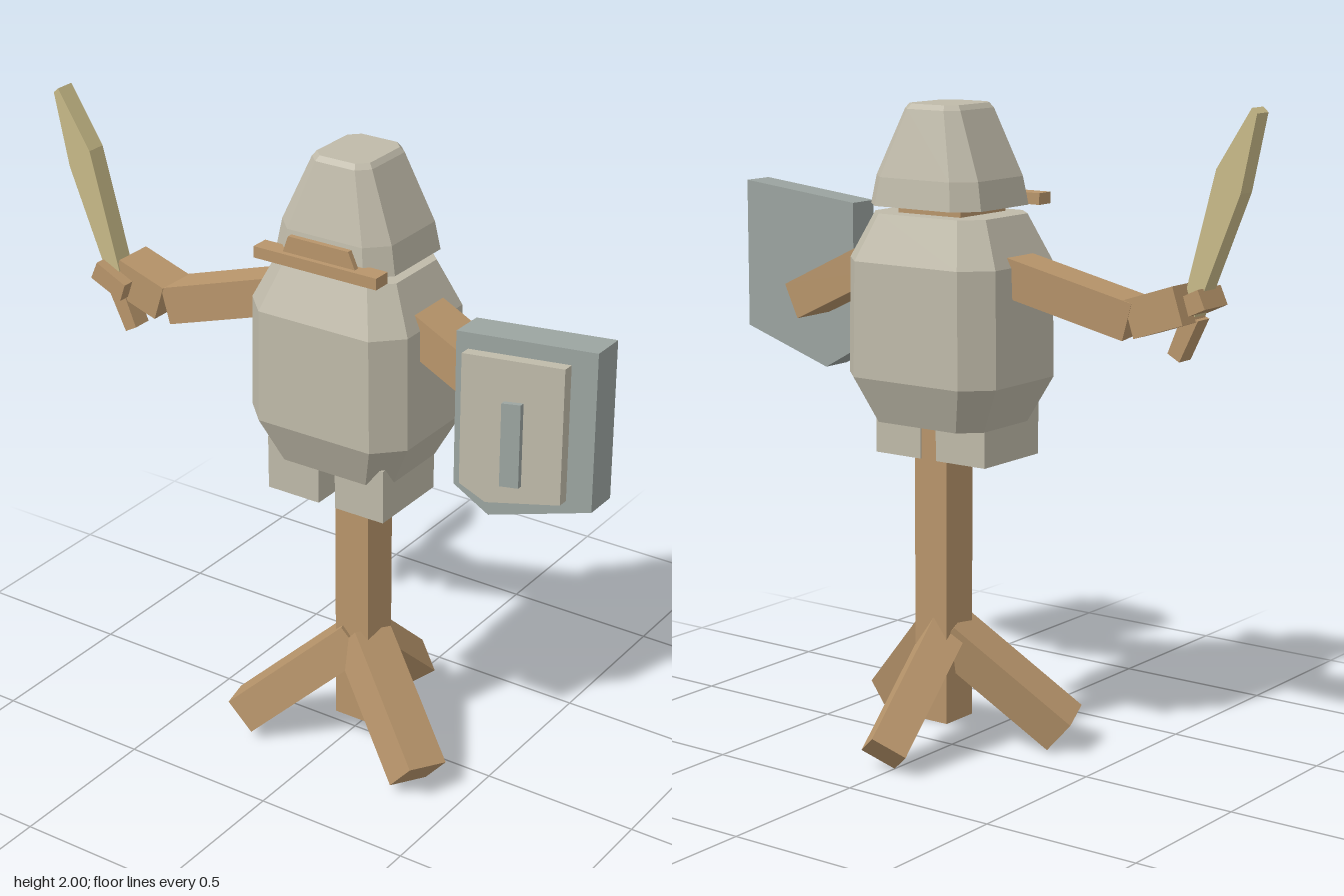
import * as THREE from 'three';

const material = (name, color) => Object.assign(new THREE.MeshStandardMaterial({ color, flatShading: true }), { name });
const wood = material('wood', 0xb8956b);
const stone = material('paleArmour', 0xbfbaa9);
const steel = material('blueGreySteel', 0x9ba4a0);
const bladeTan = material('bladeTan', 0xc8ba88);

export function createModel() {
  const model = new THREE.Group();
  model.name = 'trainingDummy';

  const add = (name, geometry, mat) => {
    const mesh = new THREE.Mesh(geometry, mat);
    mesh.name = name;
    model.add(mesh);
    return mesh;
  };

  // Box given by its lower and upper corners
  const box = (name, mat, [x0, y0, z0], [x1, y1, z1]) =>
    add(name, new THREE.BoxGeometry(x1 - x0, y1 - y0, z1 - z0), mat)
      .position.set((x0 + x1) / 2, (y0 + y1) / 2, (z0 + z1) / 2);

  // Square beam from a to b; w is measured along the side direction, d across it
  const beam = (name, a, b, w, d, side) => {
    const start = new THREE.Vector3(...a), end = new THREE.Vector3(...b);
    const y = end.clone().sub(start), length = y.length();
    y.normalize();
    const x = new THREE.Vector3(...side);
    x.addScaledVector(y, -x.dot(y)).normalize();
    const z = x.clone().cross(y);
    const mesh = add(name, new THREE.BoxGeometry(w, length, d), wood);
    mesh.quaternion.setFromRotationMatrix(new THREE.Matrix4().makeBasis(x, y, z));
    mesh.position.copy(start).add(end).multiplyScalar(0.5);
  };

  // Flat outline in x and y, given depth between z0 and z1
  const plate = (name, mat, points, z0, z1) => {
    const shape = new THREE.Shape(points.map(p => new THREE.Vector2(...p)));
    const geometry = new THREE.ExtrudeGeometry(shape, { depth: z1 - z0, bevelEnabled: false });
    add(name, geometry.translate(0, 0, z0), mat);
  };

  // Stack of chamfered rectangles: [y, half width, half depth, chamfer]
  const loft = (name, mat, cx, cz, levels) => {
    const rings = levels.map(([y, w, d, c]) => [
      [w, d - c], [w - c, d], [c - w, d], [-w, d - c],
      [-w, c - d], [c - w, -d], [w - c, -d], [w, c - d],
    ].map(([x, z]) => [cx + x, y, cz + z]));
    const out = [];
    const tri = (...corners) => corners.forEach(p => out.push(...p));
    for (let i = 0; i + 1 < rings.length; i++) {
      for (let k = 0; k < 8; k++) {
        const n = (k + 1) % 8, lo = rings[i], hi = rings[i + 1];
        tri(lo[k], hi[k], hi[n]);
        tri(lo[k], hi[n], lo[n]);
      }
    }
    const bottom = rings[0], top = rings[rings.length - 1];
    for (let k = 1; k < 7; k++) {
      tri(bottom[0], bottom[k], bottom[k + 1]);
      tri(top[0], top[k + 1], top[k]);
    }
    const geometry = new THREE.BufferGeometry();
    geometry.setAttribute('position', new THREE.Float32BufferAttribute(out, 3));
    geometry.computeVertexNormals();
    add(name, geometry, mat);
  };

  // Stand: post and three splayed braces
  box('post', wood, [-0.025, 0.09, -0.06], [0.095, 1.1, 0.07]);
  for (const s of [-1, 1]) {
    beam(s < 0 ? 'rightBrace' : 'leftBrace', [0.035 + s * 0.01, 0.36, 0.02],
      [0.035 + s * 0.325, 0.066, 0.19], 0.14, 0.12, [-s * 0.05, 0.025, 0.15]);
  }
  beam('backBrace', [0.025, 0.365, 0.0], [0.0, 0.065, -0.34], 0.115, 0.115, [1, 0.75, -0.66]);

  // Body: hips, torso, neck and helmet
  box('rightHip', stone, [-0.17, 0.91, -0.065], [0.012, 1.08, 0.21]);
  box('leftHip', stone, [0.07, 0.91, -0.065], [0.24, 1.08, 0.21]);
  loft('torso', stone, 0.035, 0.042, [
    [1.02, 0.205, 0.17, 0.06], [1.16, 0.275, 0.227, 0.08],
    [1.51, 0.27, 0.225, 0.08], [1.65, 0.205, 0.165, 0.06],
  ]);
  box('neck', wood, [-0.08, 1.6, -0.065], [0.15, 1.75, 0.16]);
  loft('helmet', stone, 0.036, 0.036, [
    [1.675, 0.204, 0.184, 0.065], [1.76, 0.188, 0.172, 0.06],
    [1.96, 0.102, 0.118, 0.035], [1.975, 0.09, 0.106, 0.03],
  ]);

  // Visor bar with its raised crest
  box('visorBar', wood, [-0.175, 1.67, 0.2], [0.245, 1.705, 0.258]);
  plate('visorCrest', wood, [[-0.085, 1.7], [0.165, 1.7], [0.14, 1.755], [-0.065, 1.755]], 0.225, 0.242);

  // Arms
  beam('rightUpperArm', [-0.1, 1.513, 0.02], [-0.588, 1.38, 0.1], 0.13, 0.115, [0, 0, 1]);
  beam('rightForearm', [-0.602, 1.386, 0.102], [-0.765, 1.44, 0.103], 0.13, 0.115, [0, 0, 1]);
  beam('leftArm', [0.2, 1.53, 0.043], [0.615, 1.335, 0.06], 0.15, 0.115, [0, 0, 1]);

  // Sword
  plate('swordBlade', bladeTan, [
    [-0.77, 1.38], [-0.745, 1.46], [-0.84, 1.825], [-0.95, 2], [-0.967, 1.985], [-0.92, 1.76],
  ], 0.11, 0.172);
  plate('swordGuard', wood, [[-0.83, 1.43], [-0.72, 1.38], [-0.7, 1.435], [-0.805, 1.485]], 0.08, 0.205);
  plate('swordGrip', wood, [[-0.79, 1.39], [-0.73, 1.265], [-0.69, 1.287], [-0.74, 1.41]], 0.11, 0.172);

  // Shield in three stepped layers
  plate('shield', steel, [[0.525, 1.16], [0.64, 1.095], [0.965, 1.2], [0.965, 1.675], [0.525, 1.63]], 0.18, 0.284);
  plate('shieldPanel', stone, [[0.585, 1.21], [0.67, 1.175], [0.905, 1.235], [0.905, 1.64], [0.585, 1.605]], 0.32, 0.353);
  plate('shieldBoss', steel, [[0.735, 1.26], [0.795, 1.27], [0.795, 1.52], [0.735, 1.51]], 0.375, 0.39);

  return model;
}
